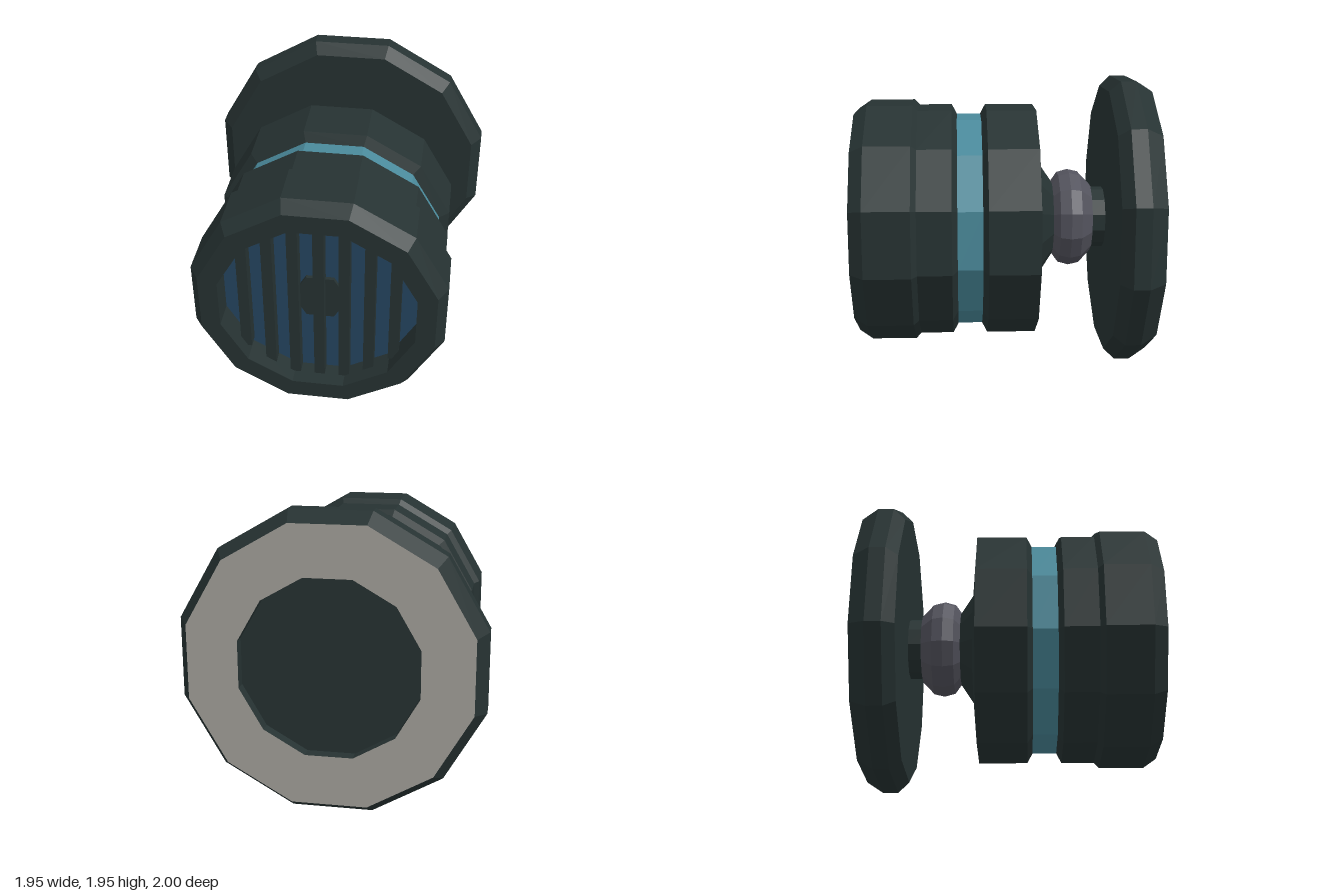
import * as THREE from 'three';

const SIDES = 12;
const CENTRE_Y = 0.975;

const material = (name, color) => {
  const m = new THREE.MeshStandardMaterial({ color });
  m.name = name;
  return m;
};

// Separate the faces so every facet has its own flat normal
function faceted(geometry) {
  const g = geometry.index ? geometry.toNonIndexed() : geometry;
  g.computeVertexNormals();
  return g;
}

// Twelve-sided turned shape along z; profile is [z, half width across flats]
function turned(profile) {
  const k = 1 / Math.cos(Math.PI / SIDES);
  const points = profile.map(([z, r]) => new THREE.Vector2(r * k, z));
  const g = new THREE.LatheGeometry(points, SIDES, Math.PI / SIDES);
  return faceted(g.rotateX(Math.PI / 2));
}

export function createModel() {
  const dark = material('dark casing', 0x263232);
  const teal = material('teal band', 0x4a8a9b);
  const blue = material('deep blue', 0x254560);
  const steel = material('steel', 0x53535d);
  const pale = material('pale pad', 0xa6a39d);

  const model = new THREE.Group();
  model.name = 'roundMountedLamp';
  const body = new THREE.Group();
  body.name = 'lampAssembly';
  body.position.y = CENTRE_Y;
  model.add(body);

  const add = (name, geometry, mat, parent = body) => {
    const mesh = new THREE.Mesh(geometry, mat);
    mesh.name = name;
    parent.add(mesh);
    return mesh;
  };

  // Mounting base with a hollow back, and its neck
  add('baseRecess', turned([[-0.92, 0], [-0.92, 0.575], [-1, 0.575]]), dark);
  add('basePad', turned([[-1, 0.575], [-1, 0.905]]), pale);
  add('base', turned([
    [-1, 0.905], [-0.89, 0.975], [-0.785, 0.975], [-0.71, 0.905], [-0.71, 0.205],
  ]), dark);
  add('neck', turned([[-0.72, 0.205], [-0.6, 0.205]]), dark);

  // Ball joint
  add('ballJoint', turned([
    [-0.62, 0], [-0.62, 0.23], [-0.54, 0.312], [-0.467, 0.328],
    [-0.393, 0.308], [-0.35, 0.25], [-0.35, 0],
  ]), steel);

  // Rear housing, coloured band, front housing with a deep opening
  add('rearHousing', turned([
    [-0.35, 0], [-0.35, 0.25], [-0.26, 0.38], [-0.225, 0.78], [0.11, 0.78], [0.145, 0.715],
  ]), dark);
  add('band', turned([[0.145, 0.715], [0.31, 0.715]]), teal);
  add('frontHousing', turned([
    [0.31, 0.715], [0.345, 0.78], [0.57, 0.78], [0.605, 0.815], [0.91, 0.815],
    [1, 0.755], [1, 0.63], [0.82, 0.63],
  ]), dark);
  add('facePlate', turned([[0.82, 0.63], [0.82, 0]]), blue);

  // Hexagonal hub behind the grille
  const hub = new THREE.CylinderGeometry(0.18, 0.18, 0.03, 6, 1, false, Math.PI / 2);
  add('hub', faceted(hub.rotateX(Math.PI / 2)), dark).position.z = 0.83;

  // Upright grille bars, shorter toward the sides
  const grille = new THREE.Group();
  grille.name = 'grille';
  body.add(grille);
  for (let i = -3; i <= 3; i++) {
    const x = i * 0.163;
    const height = 2 * Math.sqrt(0.65 ** 2 - x ** 2);
    const bar = add('grilleBar', new THREE.BoxGeometry(0.07, height, 0.09), dark, grille);
    bar.position.set(x, 0, 0.86);
  }

  return model;
}
